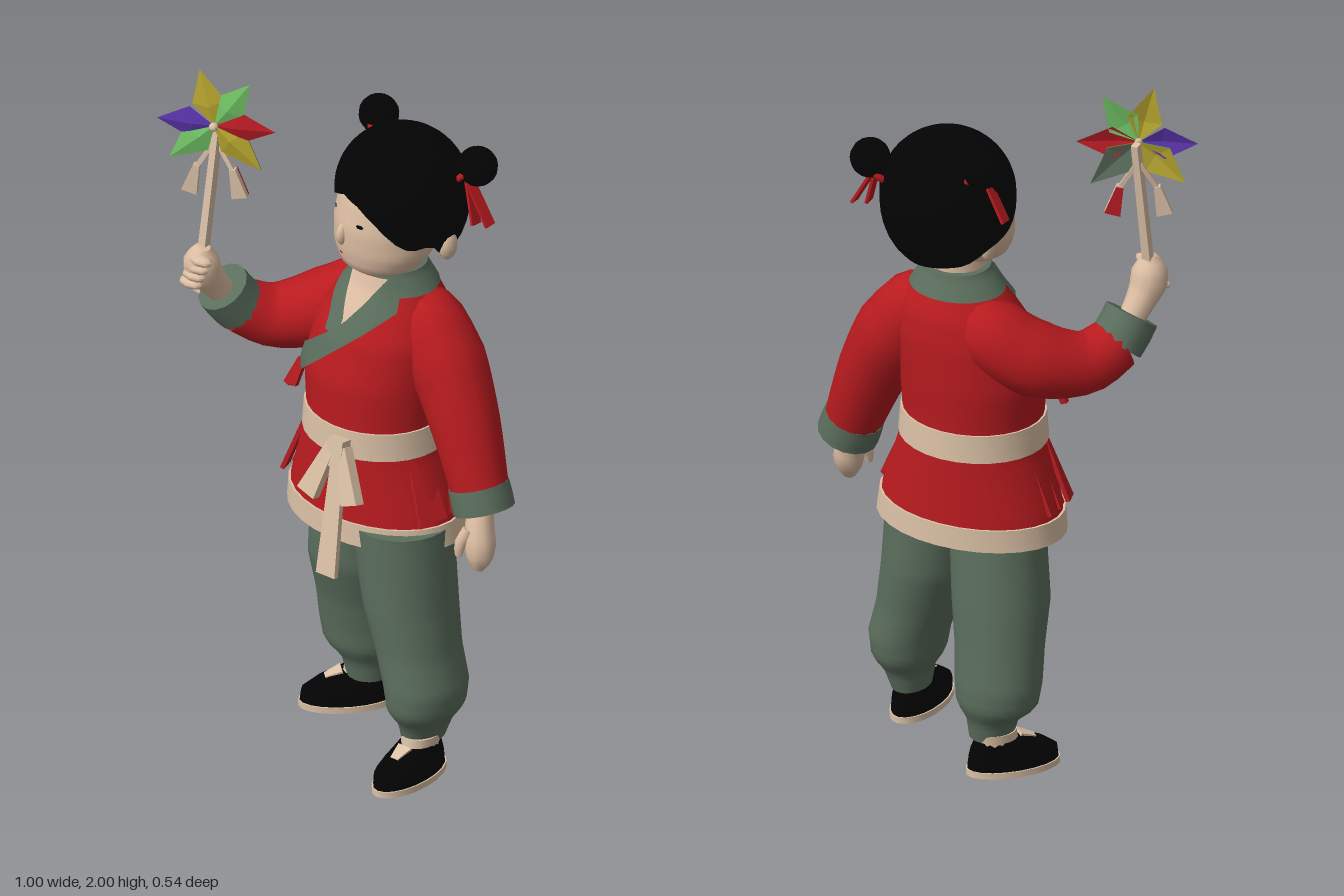
import * as THREE from 'three';
import { toCreasedNormals } from 'three/addons/utils/BufferGeometryUtils.js';
import { ParametricGeometry } from 'three/addons/geometries/ParametricGeometry.js';

const mat = (name, color, side = THREE.FrontSide) => {
  const m = new THREE.MeshStandardMaterial({ color, side });
  m.name = name;
  return m;
};
const lerp = THREE.MathUtils.lerp;
const clamp01 = (t) => THREE.MathUtils.clamp(t, 0, 1);
const V = (p) => new THREE.Vector3(...p);

// Interpolate a table of rows whose first number is the ascending key
function rowAt(rows, k) {
  let i = 0;
  while (i < rows.length - 2 && k > rows[i + 1][0]) i++;
  const t = clamp01((k - rows[i][0]) / (rows[i + 1][0] - rows[i][0]));
  return rows[i].map((n, j) => lerp(n, rows[i + 1][j], t));
}
const surface = (fn, nu, nv, crease = 0.9) =>
  toCreasedNormals(new ParametricGeometry(fn, nu, nv), crease);

// Stacked ellipses [y, cx, cz, rx, rz], closed at both ends
function loft(rings, y0, y1, off = 0, nu = 24, nv = 18) {
  return surface((u, v, p) => {
    const i = Math.round(v * nv);
    const y = lerp(y0, y1, clamp01((i - 1) / (nv - 2)));
    const [, cx, cz, rx, rz] = rowAt(rings, y);
    const a = u * Math.PI * 2, s = i === 0 || i === nv ? 0 : 1;
    p.set(cx + s * (rx + off) * Math.sin(a), y, cz + s * (rz + off) * Math.cos(a));
  }, nu, nv);
}
// Thin patch on the front of a loft, rows [y, xLeft, xRight]
function patch(rings, rows, off) {
  return surface((u, v, p) => {
    const y = lerp(rows[0][0], rows[rows.length - 1][0], v);
    const [, a, b] = rowAt(rows, y);
    const [, cx, cz, rx, rz] = rowAt(rings, y);
    const x = lerp(a, b, u), q = (x - cx) / rx;
    p.set(x, y, cz + rz * Math.sqrt(Math.max(0, 1 - q * q)) + off);
  }, 6, 16);
}
// Round limb through points [x, y, z, radius], with flat ends
function limb(pts, nu = 14, nv = 18) {
  const curve = new THREE.CatmullRomCurve3(pts.map((p) => V(p)));
  const { normals, binormals } = curve.computeFrenetFrames(nv - 2, false);
  const radii = pts.map((p, i) => [i / (pts.length - 1), p[3]]);
  return surface((u, v, p) => {
    const i = Math.round(v * nv), a = u * Math.PI * 2;
    const j = THREE.MathUtils.clamp(i - 1, 0, nv - 2), w = j / (nv - 2);
    const r = i === 0 || i === nv ? 0 : rowAt(radii, curve.getUtoTmapping(w))[1];
    p.copy(curve.getPointAt(w))
      .addScaledVector(normals[j], r * Math.cos(a)).addScaledVector(binormals[j], r * Math.sin(a));
  }, nu, nv);
}
// Flat tapered strip from a down to b, facing the given normal
function strip(a, b, w0, w1, d = 0.015, facing = [0, 0, 1]) {
  const g = new THREE.BoxGeometry(1, 1, 1);
  const pos = g.attributes.position;
  const y = V(a).sub(V(b)), len = y.length();
  y.normalize();
  const x = y.clone().cross(V(facing)).normalize(), z = x.clone().cross(y);
  for (let i = 0; i < pos.count; i++) {
    const h = pos.getY(i) + 0.5;
    pos.setXYZ(i, pos.getX(i) * lerp(w1, w0, h), (h - 0.5) * len, pos.getZ(i) * d);
  }
  g.applyMatrix4(new THREE.Matrix4().makeBasis(x, y, z));
  g.translate(...V(a).add(V(b)).multiplyScalar(0.5).toArray());
  g.computeVertexNormals();
  return g;
}
const ball = (x, y, z, rx, ry, rz, n = 14) =>
  new THREE.SphereGeometry(1, n, 10).scale(rx, ry, rz).translate(x, y, z);

export function createModel() {
  const red = mat('red cloth', 0xb91b1f), green = mat('grey green cloth', 0x5b6e5d, THREE.DoubleSide);
  const skin = mat('skin', 0xdcbda2), cream = mat('cream cloth', 0xdbc1a6);
  const black = mat('black', 0x030303, THREE.DoubleSide);
  const yellow = mat('yellow paper', 0xbcaa30, THREE.DoubleSide);
  const lime = mat('light green paper', 0x74c868, THREE.DoubleSide);
  const purple = mat('purple paper', 0x5a35ac, THREE.DoubleSide);
  const redPaper = mat('red paper', 0xbc1c26, THREE.DoubleSide);
  const model = new THREE.Group();
  const add = (name, geo, material, parent = model) => {
    const m = new THREE.Mesh(geo, material);
    m.name = name;
    parent.add(m);
    return m;
  };

  // Jacket, hem, belt and collar
  const torso = [[0.69, 0.037, -0.045, 0.268, 0.188], [0.76, 0.035, -0.045, 0.26, 0.186],
    [0.95, 0.032, -0.045, 0.202, 0.179], [1.03, 0.032, -0.045, 0.196, 0.175],
    [1.15, 0.03, -0.05, 0.205, 0.178], [1.28, 0.045, -0.067, 0.2, 0.162],
    [1.36, 0.055, -0.082, 0.165, 0.137], [1.42, 0.06, -0.085, 0.125, 0.105],
    [1.47, 0.065, -0.08, 0.09, 0.085]];
  add('jacket', loft(torso, 0.74, 1.46, 0, 28, 30), red);
  add('hemBand', loft(torso, 0.69, 0.755, 0.006, 28, 5), cream);
  add('belt', loft(torso, 0.95, 1.03, 0.006, 28, 5), cream);
  add('collar', loft(torso, 1.412, 1.475, 0.005, 28, 8), green);
  add('neckOpening', patch(torso, [[1.32, 0.02, 0.03], [1.39, -0.015, 0.09], [1.46, -0.02, 0.12]], 0.011), skin);
  add('rightLapel', patch(torso, [[1.29, -0.03, 0.01], [1.33, -0.035, 0.025], [1.4, -0.07, 0], [1.47, -0.022, -0.015]], 0.014), green);
  add('crossLapel', patch(torso, [[1.11, -0.15, -0.14], [1.195, -0.135, -0.04],
    [1.32, 0.025, 0.105], [1.38, 0.07, 0.165], [1.47, 0.125, 0.145]], 0.016), green);
  for (let i = 0; i < 3; i++) {
    add('sideTie', strip([-0.155 + i * 0.012, 1.13, 0.045 + i * 0.01], [-0.19 + i * 0.02, 1.045 + i * 0.01, 0.06 + i * 0.01], 0.012, 0.02), red);
  }
  for (const s of [-1, 1]) for (let i = 0; i < 3; i++) {
    const z = 0.02 - i * 0.05;
    add('sidePleat', strip([0.03 + s * 0.185, 0.94, z], [0.036 + s * 0.252, 0.77, z + 0.02], 0.02, 0.045, 0.012, [s, 0, 0.3]), red);
  }

  // Sash bow
  add('bowKnot', strip([0.07, 1.01, 0.147], [0.07, 0.93, 0.16], 0.05, 0.06, 0.035), cream);
  add('bowLoop', strip([0.052, 0.99, 0.15], [0.002, 0.84, 0.198], 0.03, 0.06, 0.03), cream);
  add('bowLoop', strip([0.09, 0.99, 0.15], [0.15, 0.85, 0.188], 0.03, 0.06, 0.03), cream);
  add('bowTail', strip([0.075, 0.96, 0.155], [0.086, 0.622, 0.218], 0.042, 0.066), cream);

  // Trousers gathered above the ankle
  const legs = {
    left: [[0.1, 0.255, 0.015, 0.05, 0.07], [0.16, 0.262, 0.015, 0.066, 0.088], [0.205, 0.264, 0.015, 0.096, 0.122],
      [0.27, 0.26, 0.012, 0.106, 0.128], [0.37, 0.23, 0.008, 0.11, 0.126], [0.5, 0.197, 0.003, 0.125, 0.136],
      [0.74, 0.165, 0, 0.138, 0.14]],
    right: [[0.1, -0.075, -0.14, 0.06, 0.06], [0.16, -0.08, -0.14, 0.072, 0.072], [0.205, -0.092, -0.138, 0.114, 0.1],
      [0.27, -0.095, -0.135, 0.122, 0.106], [0.37, -0.09, -0.12, 0.125, 0.11], [0.5, -0.08, -0.095, 0.136, 0.125],
      [0.74, -0.06, -0.08, 0.134, 0.118]],
  };
  for (const side in legs) add(side + 'TrouserLeg', loft(legs[side], 0.1, 0.74, 0, 24, 36), green);
  const hips = [[0.66, 0.05, -0.045, 0.225, 0.135], [0.69, 0.042, -0.045, 0.25, 0.17]];
  add('trouserHips', loft(hips, 0.66, 0.688, 0, 28, 5), green);

  // Shoes with thin soles and socks
  const upper = [[0.02, 0, 0, 0.062, 0.13], [0.05, 0, 0, 0.062, 0.126], [0.075, 0, -0.015, 0.054, 0.105], [0.1, 0, -0.04, 0.047, 0.068]];
  const ankle = [[0.08, 0, -0.045, 0.046, 0.06], [0.125, 0, -0.05, 0.05, 0.058]];
  for (const [side, x, z, turn] of [['left', 0.265, 0.087, 0], ['right', -0.125, -0.11, -0.7]]) {
    const shoe = new THREE.Group();
    shoe.name = side + 'Shoe';
    shoe.position.set(x, 0, z);
    shoe.rotation.y = turn;
    add('sole', loft(upper, 0, 0.018, 0.004, 20, 4), cream, shoe);
    add('upper', loft(upper, 0.017, 0.1, 0, 20, 12), black, shoe);
    add('sock', loft(ankle, 0.08, 0.125, 0, 16, 5), cream, shoe);
    add('instep', strip([0, 0.102, 0.015], [0, 0.083, 0.06], 0.045, 0.025, 0.012, [0, 1, 0.4]), cream, shoe);
    model.add(shoe);
  }

  // Left arm, hanging
  add('leftSleeve', limb([[0.1, 1.38, -0.09, 0.05], [0.175, 1.325, -0.09, 0.098], [0.25, 1.22, -0.084, 0.11],
    [0.33, 1.07, -0.066, 0.097], [0.402, 0.895, -0.045, 0.08]]), red);
  add('leftCuff', limb([[0.397, 0.908, -0.046, 0.083], [0.409, 0.875, -0.043, 0.085], [0.421, 0.842, -0.04, 0.085]], 16, 6), green);
  add('leftHand', limb([[0.415, 0.86, -0.035, 0.035], [0.427, 0.8, -0.015, 0.04], [0.437, 0.755, -0.005, 0.044],
    [0.443, 0.715, 0.005, 0.036], [0.443, 0.685, 0.01, 0.016]], 10, 12), skin);
  add('leftThumb', limb([[0.415, 0.8, 0.015, 0.018], [0.402, 0.76, 0.035, 0.017], [0.4, 0.725, 0.04, 0.01]], 8, 6), skin);

  // Right arm, raised
  add('rightSleeve', limb([[0.02, 1.38, -0.11, 0.06], [-0.06, 1.31, -0.118, 0.102], [-0.17, 1.235, -0.072, 0.106],
    [-0.272, 1.207, 0.02, 0.088], [-0.334, 1.252, 0.1, 0.076]]), red);
  add('rightCuff', limb([[-0.328, 1.247, 0.093, 0.077], [-0.34, 1.28, 0.117, 0.077], [-0.35, 1.318, 0.142, 0.076]], 16, 6), green);
  add('rightHand', limb([[-0.347, 1.3, 0.14, 0.036], [-0.36, 1.35, 0.175, 0.042], [-0.368, 1.395, 0.203, 0.052],
    [-0.366, 1.435, 0.21, 0.048], [-0.362, 1.468, 0.21, 0.022]], 12, 12), skin);
  for (let i = 0; i < 4; i++) {
    add('rightFinger', ball(-0.372 + i * 0.008, 1.37 + i * 0.024, 0.247 - i * 0.004, 0.038, 0.015, 0.022, 8), skin);
  }

  // Head and face
  const head = [[1.47, 0.062, -0.025, 0.06, 0.06], [1.5, 0.065, -0.025, 0.115, 0.1], [1.55, 0.068, -0.042, 0.145, 0.128],
    [1.62, 0.07, -0.064, 0.155, 0.152], [1.7, 0.078, -0.083, 0.158, 0.155], [1.78, 0.085, -0.09, 0.135, 0.135]];
  add('neck', new THREE.CylinderGeometry(0.08, 0.084, 0.13, 18).translate(0.066, 1.46, -0.07), skin);
  add('head', loft(head, 1.47, 1.78, 0, 28, 20), skin);
  add('nose', ball(0.018, 1.595, 0.074, 0.015, 0.032, 0.022, 12), skin);
  for (const [x, y, w] of [[-0.03, 1.655, 0.008], [0.088, 1.647, 0.013]]) {
    add('eye', patch(head, [[y - 0.005, x - w / 2, x + w / 2], [y, x - w, x + w], [y + 0.005, x - w / 2, x + w / 2]], 0.004), black);
  }
  add('mouth', patch(head, [[1.538, 0.016, 0.02], [1.542, 0.01, 0.026], [1.546, 0.014, 0.022]], 0.004), red);
  add('ear', ball(0.243, 1.575, -0.095, 0.026, 0.045, 0.03), skin);
  add('ear', ball(-0.062, 1.57, -0.135, 0.016, 0.034, 0.024), skin);

  // Hair shell with a hairline that drops toward the nape; keys are turns from the face
  const hairline = [[-1, 1.51], [-0.62, 1.53], [-0.5, 1.58], [-0.35, 1.61], [-0.2, 1.66], [0, 1.725],
    [0.1, 1.71], [0.2, 1.665], [0.3, 1.61], [0.37, 1.585], [0.48, 1.6], [0.6, 1.53], [1, 1.51]];
  add('hair', surface((u, v, p) => {
    const turn = u * 2 - 1, a = turn * Math.PI - 0.35;
    const low = Math.acos((rowAt(hairline, turn)[1] - 1.69) / 0.225);
    const c = Math.cos(lerp(low, 0, v));
    const r = Math.sqrt(Math.max(0, 1 - Math.pow(Math.abs(c), c > 0 ? 2 : 2.4)));
    p.set(0.083 + 0.186 * r * Math.sin(a), 1.69 + c * (c > 0 ? 0.182 : 0.225), -0.096 + 0.18 * r * Math.cos(a));
  }, 40, 16), black);

  // Buns with ties and ribbons
  for (const [x, y, z, s] of [[-0.065, 1.83, -0.17, -1], [0.27, 1.787, -0.188, 1]]) {
    add('bun', ball(x, y, z, 0.056, 0.055, 0.055), black);
    const tie = add('bunTie', new THREE.TorusGeometry(0.04, 0.01, 6, 16), red);
    tie.position.set(x - s * 0.028, y - 0.03, z + 0.015);
    tie.rotation.set(Math.PI / 2, 0, s * 0.8, 'ZXY');
    for (const [dx, dz] of [[0.06, 0.018], [0.025, 0.036]]) {
      add('hairRibbon', strip([x - s * 0.01, y - 0.03, z + 0.025], [x + s * dx, y - 0.155, z + dz], 0.03, 0.034, 0.008, [s, 0, 0]), red);
    }
  }

  // Pinwheel: [angle, paper, length, optional paper on the back]
  add('pinwheelStick', strip([-0.358, 1.83, 0.15], [-0.372, 1.33, 0.215], 0.02, 0.026, 0.022), cream);
  const wheel = new THREE.Group();
  wheel.name = 'pinwheel';
  wheel.position.set(-0.358, 1.83, 0.165);
  wheel.rotation.y = 0.465;
  const blades = [[0, redPaper, 0.168], [55, lime, 0.17], [104, yellow, 0.172], [180, purple, 0.16],
    [223, lime, 0.172, yellow], [316, yellow, 0.18, green]];
  for (const [deg, paper, len, back] of blades) {
    const at = (r, d, z) => [r * Math.cos(THREE.MathUtils.degToRad(d)), r * Math.sin(THREE.MathUtils.degToRad(d)), z];
    const o = [0, 0, 0.005], tip = at(len, deg, 0), fold = at(0.06, deg, 0.01);
    const l = at(0.085, deg + 34, -0.002), r = at(0.085, deg - 34, -0.002);
    const g = new THREE.BufferGeometry();
    g.setAttribute('position', new THREE.Float32BufferAttribute(
      [o, r, fold, r, tip, fold, o, fold, l, fold, tip, l].flat(), 3));
    g.computeVertexNormals();
    add('blade', g, paper, wheel);
    if (back) add('bladeBack', g, back, wheel).position.z = -0.005;
  }
  add('hub', ball(0, 0, 0.012, 0.013, 0.013, 0.013, 10), cream, wheel);
  for (const s of [-1, 1]) {
    add('tasselCord', strip([s * 0.005, -0.06, -0.01], [s * 0.05, -0.135, 0], 0.012, 0.012, 0.01), cream, wheel);
    add('tassel', strip([s * 0.05, -0.13, 0], [s * 0.07, -0.215, 0], 0.018, 0.044, 0.018), cream, wheel);
  }
  add('tasselBack', strip([0.05, -0.133, -0.012], [0.07, -0.214, -0.012], 0.02, 0.044, 0.006), redPaper, wheel);
  model.add(wheel);
  return model;
}
